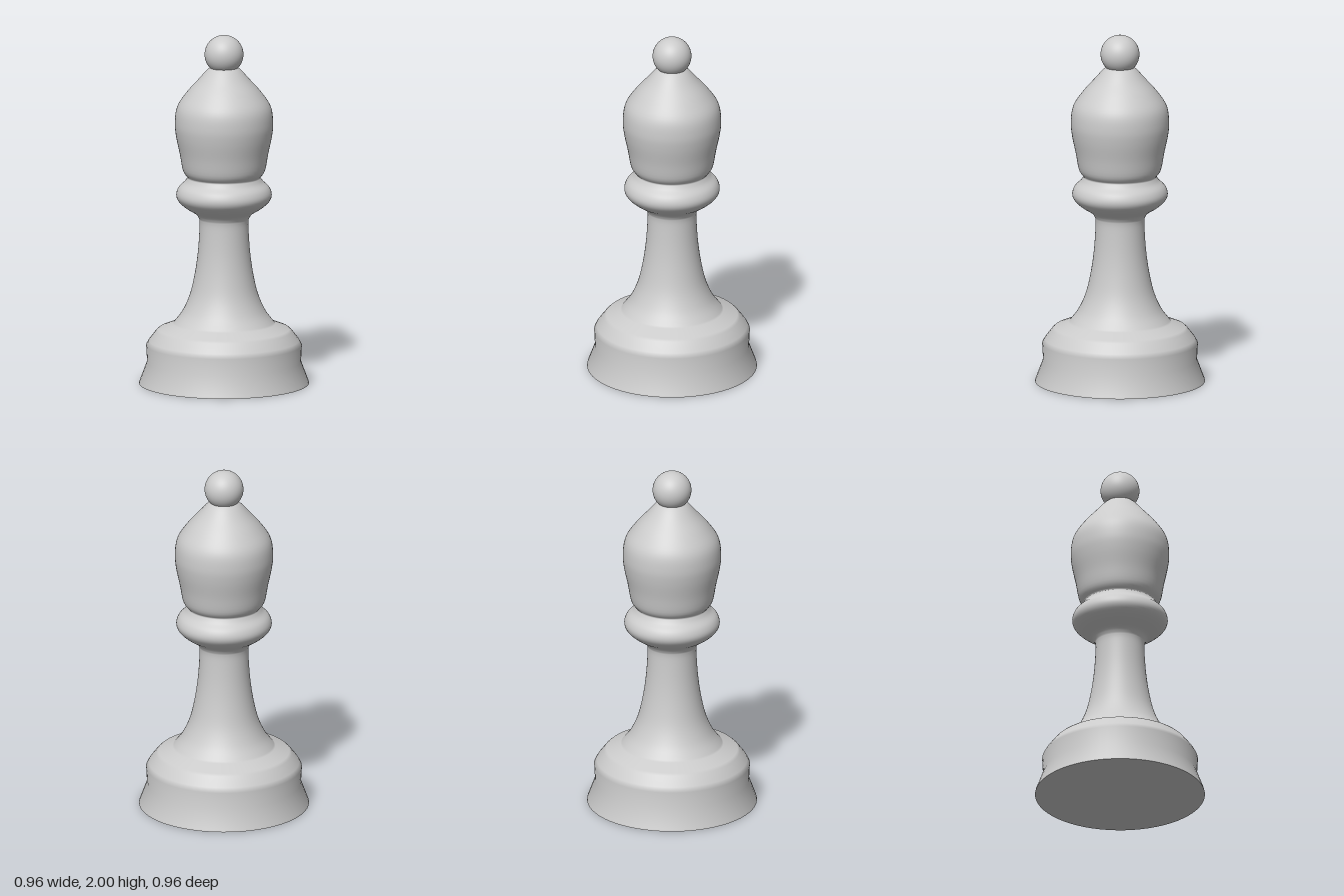
import * as THREE from 'three';

const SEGMENTS = 64;

// Smooth profile through [radius, height] points
function curve(points, steps) {
  return new THREE.SplineCurve(points.map(([r, y]) => new THREE.Vector2(r, y))).getPoints(steps);
}

function lathe(name, points, material) {
  const mesh = new THREE.Mesh(new THREE.LatheGeometry(points, SEGMENTS), material);
  mesh.name = name;
  return mesh;
}

export function createModel() {
  const group = new THREE.Group();
  group.name = 'chessBishop';
  const material = new THREE.MeshStandardMaterial({ color: 0xcccccc });

  // Flat underside
  const underside = new THREE.Mesh(new THREE.CircleGeometry(0.48, SEGMENTS), material);
  underside.name = 'underside';
  underside.rotation.x = Math.PI / 2;
  group.add(underside);

  // Stepped foot: flared skirt, upright band, bevelled shoulder
  const foot = [
    [0.48, 0], [0.478, 0.01], [0.435, 0.125], [0.44, 0.22],
    [0.425, 0.247], [0.384, 0.3], [0.37, 0.312], [0.29, 0.343],
  ].map(([r, y]) => new THREE.Vector2(r, y));
  // Concave stem
  const stem = curve([
    [0.282, 0.352], [0.235, 0.415], [0.193, 0.51], [0.165, 0.63],
    [0.147, 0.76], [0.138, 0.9], [0.14, 0.945],
  ], 28);
  // Rounded collar with a narrow neck above it
  const collar = curve([
    [0.14, 0.945], [0.16, 0.975], [0.215, 1.01], [0.257, 1.048],
    [0.27, 1.085], [0.256, 1.125], [0.222, 1.158], [0.205, 1.185],
  ], 28);
  // Pear-shaped head
  const head = curve([
    [0.205, 1.185], [0.232, 1.225], [0.25, 1.32], [0.271, 1.42], [0.278, 1.5],
    [0.264, 1.59], [0.21, 1.672], [0.148, 1.742], [0.085, 1.81], [0.03, 1.84],
  ], 40);

  group.add(lathe('body', [...foot, ...stem, ...collar.slice(1), ...head.slice(1)], material));

  // Ball on top
  const ball = new THREE.Mesh(new THREE.SphereGeometry(0.11, 48, 32), material);
  ball.name = 'finial';
  ball.position.y = 1.89;
  group.add(ball);

  return group;
}
